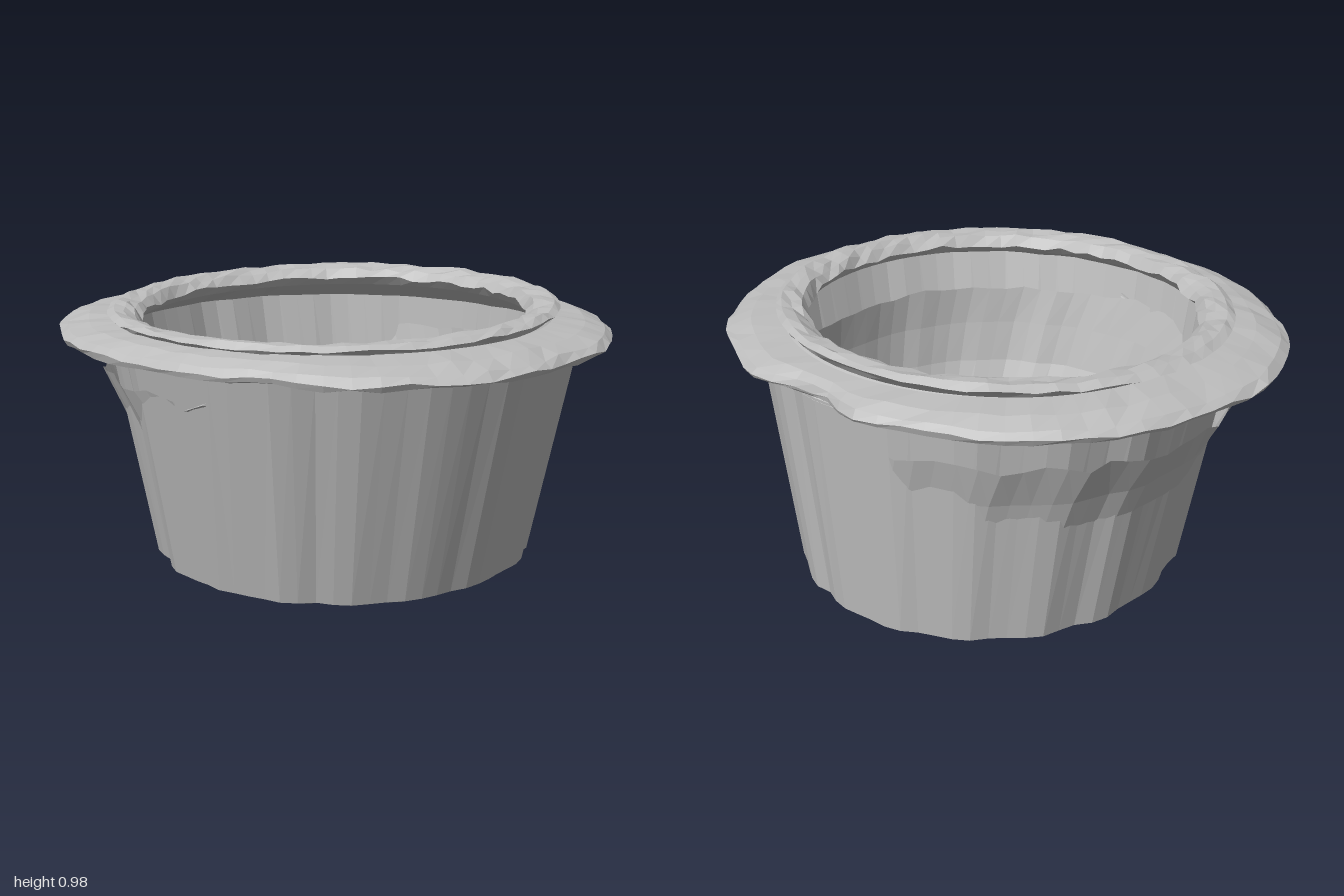
import * as THREE from 'three';

const SEG = 72;

// Small repeatable noise in -1..1
const noise = (i, k) => {
  const s = Math.sin(i * 12.9898 + k * 78.233) * 43758.5453;
  return (s - Math.floor(s)) * 2 - 1;
};

// Wavy outline of the flared rim, x and z in turn
const RIM = [1, 0.1, 0.97, 0.3, 0.87, 0.5, 0.72, 0.68, 0.5, 0.76, 0.3, 0.87, 0.1, 0.92, -0.05, 0.94,
  -0.4, 0.9, -0.55, 0.82, -0.75, 0.7, -0.9, 0.5, -0.98, 0.35, -1, 0.15, -1, -0.1, -0.95, -0.3,
  -0.83, -0.5, -0.68, -0.66, -0.55, -0.74, -0.38, -0.85, -0.2, -0.83, -0.05, -0.88, 0.05, -0.95,
  0.3, -0.9, 0.5, -0.84, 0.7, -0.68, 0.85, -0.5, 0.96, -0.3, 0.97, -0.1];
const rimPolar = [];
for (let i = 0; i < RIM.length; i += 2) {
  let a = Math.atan2(RIM[i + 1], RIM[i]);
  if (a < 0.09) a += Math.PI * 2;
  rimPolar.push([a, Math.hypot(RIM[i], RIM[i + 1])]);
}
rimPolar.push([rimPolar[0][0] + Math.PI * 2, rimPolar[0][1]]);

function rimRadius(angle) {
  const a = angle < rimPolar[0][0] ? angle + Math.PI * 2 : angle;
  for (let i = 1; i < rimPolar.length; i++) {
    const [a0, r0] = rimPolar[i - 1], [a1, r1] = rimPolar[i];
    if (a <= a1) return r0 + (r1 - r0) * (a - a0) / (a1 - a0);
  }
  return rimPolar[0][1];
}

// Faceted skin through rows of points
function skin(rows, name, material) {
  const width = rows[0].length, index = [];
  for (let i = 0; i < rows.length - 1; i++) {
    for (let j = 0; j < width - 1; j++) {
      const a = i * width + j, b = a + 1, c = a + width, d = c + 1;
      index.push(a, c, b, b, c, d);
    }
  }
  const indexed = new THREE.BufferGeometry();
  indexed.setAttribute('position', new THREE.Float32BufferAttribute(rows.flat(2), 3));
  indexed.setIndex(index);
  const geometry = indexed.toNonIndexed();
  geometry.computeVertexNormals();
  const mesh = new THREE.Mesh(geometry, material);
  mesh.name = name;
  return mesh;
}

// Oval ring: centre x and z, radii, height, radial flute, height jitter, tilt to the back
function oval({ cx = 0, cz = 0, rx, rz = rx, y, flute = 0, rough = 0, tilt = 0, key = 1 }) {
  const row = [];
  for (let j = 0; j <= SEG; j++) {
    const n = j % SEG, t = n / SEG * Math.PI * 2;
    const k = 1 + flute * (0.6 * Math.cos(t * 18) + 0.6 * noise(n, 1));
    const z = cz + rz * k * Math.sin(t);
    row.push([cx + rx * k * Math.cos(t), y + rough * noise(n, key) - tilt * z, z]);
  }
  return row;
}

// Ring that follows the rim outline, blended towards a smooth circle
function rimRing(blend, y, rough, key) {
  const row = [];
  for (let j = 0; j <= SEG; j++) {
    const n = j % SEG, t = n / SEG * Math.PI * 2;
    const r = 0.81 + (rimRadius(t) - 0.81) * blend;
    row.push([r * Math.cos(t), y + rough * noise(n, key), r * Math.sin(t)]);
  }
  return row;
}

export function createModel() {
  const grey = new THREE.MeshStandardMaterial({ color: 0xbcbcbc, side: THREE.DoubleSide });
  grey.name = 'light grey';
  const model = new THREE.Group();
  model.name = 'flutedCup';
  const add = (name, rows) => model.add(skin(rows, name, grey));

  // Fluted outer wall, leaning out more to the front and the right
  const foot = { cx: -0.045, cz: -0.08, rx: 0.685, rz: 0.71, y: 0.02, flute: 0.018 };
  const brow = { cx: 0.005, cz: -0.025, rx: 0.86, rz: 0.825, y: 0.84, flute: 0.012 };
  add('outerWall', [oval(foot), oval(brow)]);

  // Underside, nearly flat
  add('underside', [
    oval({ cx: -0.04, cz: -0.08, rx: 0.001, y: 0.016 }),
    oval({ cx: -0.04, cz: -0.08, rx: 0.53, y: 0.016, flute: 0.05, rough: 0.003 }),
    oval({ ...foot, rx: 0.65, rz: 0.67, y: 0.004 }),
    oval(foot),
  ]);

  // Flared, uneven rim with a rounded edge
  add('rim', [
    oval({ ...brow, y: 0.83 }),
    rimRing(0.6, 0.838, 0.006, 2),
    rimRing(0.94, 0.85, 0.007, 3),
    rimRing(1, 0.866, 0.008, 4),
    rimRing(0.85, 0.886, 0.006, 5),
    rimRing(0.45, 0.908, 0.005, 6),
    oval({ rx: 0.78, cz: 0.01, y: 0.918 }),
  ]);

  // Rough raised ring on top, higher at the back
  const lip = { cx: -0.01, cz: 0.01, tilt: 0.022 };
  add('raisedRing', [
    oval({ ...lip, rx: 0.775, y: 0.91 }),
    oval({ ...lip, rx: 0.79, y: 0.93, rough: 0.006, flute: 0.006, key: 7 }),
    oval({ ...lip, cx: -0.015, rx: 0.825, rz: 0.805, y: 0.945, rough: 0.005, key: 8 }),
    oval({ ...lip, rx: 0.795, rz: 0.785, y: 0.96, rough: 0.006, key: 9 }),
    oval({ ...lip, rx: 0.75, y: 0.956, rough: 0.009, flute: 0.008, key: 10 }),
    oval({ ...lip, rx: 0.72, rz: 0.715, y: 0.945, rough: 0.01, key: 11 }),
    oval({ ...lip, rx: 0.69, y: 0.915, rough: 0.01, flute: 0.01, key: 12 }),
    oval({ ...lip, rx: 0.72, y: 0.885 }),
    oval({ ...brow, y: 0.83 }),
  ]);

  // Deep slanted liner bowl: its ragged edge breaks out through the wall at one side
  const base = { cx: -0.015, cz: -0.1, rx: 0.63, rz: 0.58, y: 0.07, flute: 0.02 };
  add('liner', [
    oval({ cx: -0.1, cz: -0.01, rx: 0.81, rz: 0.79, y: 0.72, flute: 0.01, rough: 0.014, key: 13 }),
    oval({ cx: -0.062, cz: -0.032, rx: 0.775, rz: 0.757, y: 0.57, flute: 0.012 }),
    oval({ cx: -0.04, cz: -0.055, rx: 0.74, rz: 0.725, y: 0.41, flute: 0.014 }),
    oval(base),
  ]);

  // Floor of the liner
  add('linerFloor', [
    oval(base),
    oval({ cx: -0.045, cz: -0.08, rx: 0.52, y: 0.04, flute: 0.04, rough: 0.003, key: 14 }),
    oval({ cx: -0.045, cz: -0.08, rx: 0.001, y: 0.04 }),
  ]);

  // Small chip beside the torn edge
  const chip = [[0.11, 0.685, 0.75], [0.2, 0.72, 0.745]];
  add('wallChip', [
    chip,
    chip.map(([x, y, z]) => [x, y + 0.008, z + 0.025]),
    chip.map(([x, y, z]) => [x, y + 0.016, z]),
  ]);

  return model;
}
